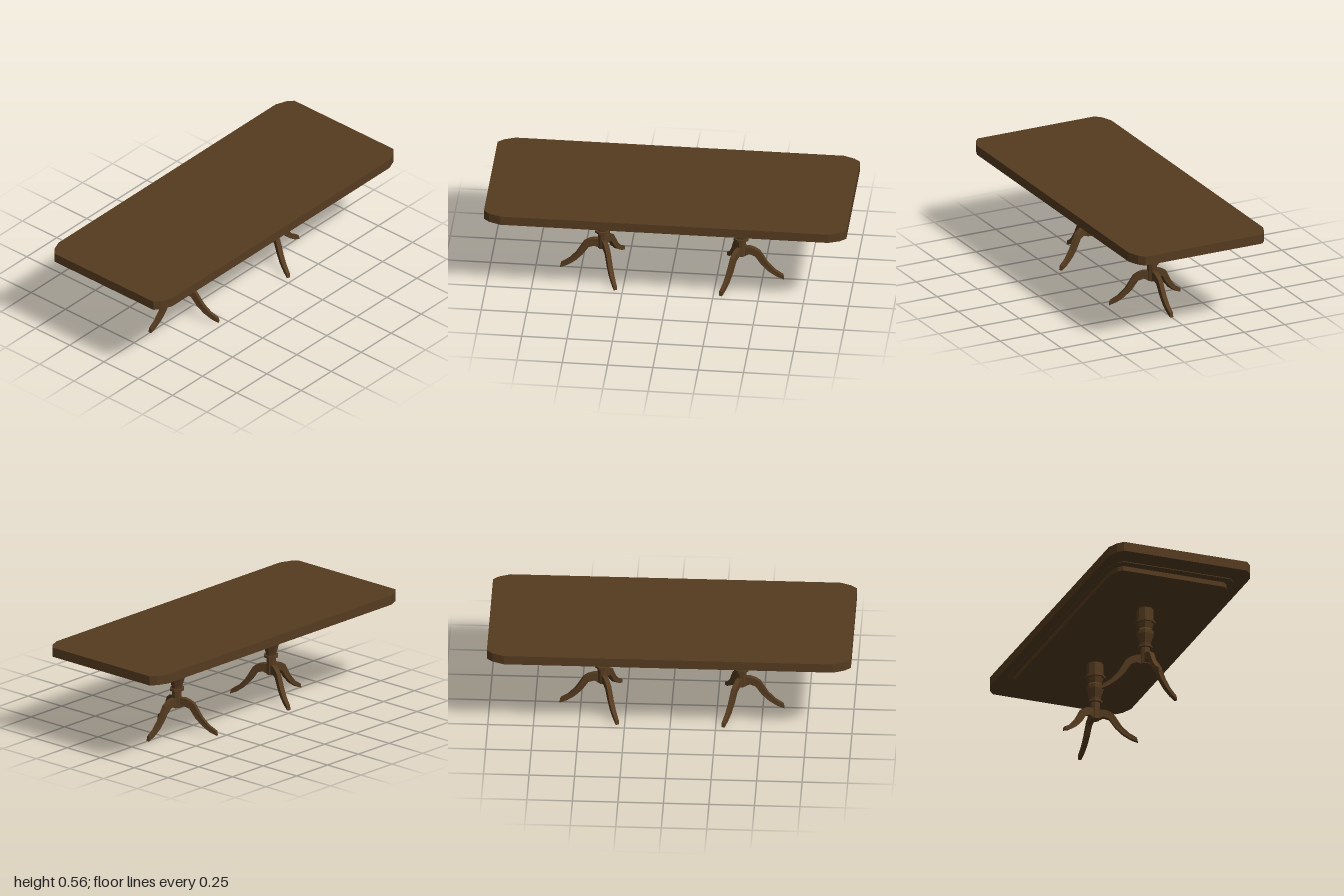
import * as THREE from 'three';

const wood = new THREE.MeshStandardMaterial({ color: 0x553b20, flatShading: true });

function addMesh(parent, name, geometry) {
  const mesh = new THREE.Mesh(geometry, wood);
  mesh.name = name;
  parent.add(mesh);
  return mesh;
}

// Flat board with faceted corners: half sizes hx, hz, corner cut cx by cz
function boardGeometry(hx, hz, cx, cz, y0, y1) {
  const corner = [[0, cz], [0.34 * cx, 0.46 * cz], [cx, 0]].map(([a, b]) => [hx - a, hz - b]);
  const flipped = [...corner].reverse();
  const points = [
    ...corner,
    ...flipped.map(([x, z]) => [-x, z]),
    ...corner.map(([x, z]) => [-x, -z]),
    ...flipped.map(([x, z]) => [x, -z]),
  ].map(([x, z]) => new THREE.Vector2(x, z));
  const geometry = new THREE.ExtrudeGeometry(new THREE.Shape(points), { depth: y1 - y0, bevelEnabled: false });
  return geometry.rotateX(-Math.PI / 2).translate(0, y0, 0);
}

// Eight-sided turned column, [half width across flats, y] from bottom to top
function columnGeometry() {
  const profile = [
    [0, 0.14], [0.025, 0.14], [0.025, 0.239], [0.038, 0.239], [0.038, 0.252],
    [0.027, 0.252], [0.029, 0.266], [0.043, 0.318], [0.044, 0.34], [0.034, 0.352],
    [0.043, 0.388], [0.052, 0.388], [0.052, 0.4], [0.043, 0.4], [0.043, 0.474], [0, 0.474],
  ].map(([r, y]) => new THREE.Vector2(r / Math.cos(Math.PI / 8), y));
  return new THREE.LatheGeometry(profile, 8, Math.PI / 8).scale(1.05, 1, 1);
}

// Curved leg reaching out along +x, narrowing towards the foot
function legGeometry() {
  const outline = [
    [0, 0.14], [0.027, 0.144], [0.046, 0.152], [0.077, 0.141], [0.111, 0.09], [0.152, 0.048],
    [0.196, 0.017], [0.236, 0], [0.231, 0.025], [0.186, 0.054], [0.148, 0.095],
    [0.103, 0.17], [0.075, 0.188], [0.048, 0.197], [0, 0.197],
  ].map(([x, y]) => new THREE.Vector2(x, y));
  const geometry = new THREE.ExtrudeGeometry(new THREE.Shape(outline), { depth: 0.026, bevelEnabled: false });
  geometry.translate(0, 0, -0.013);
  const p = geometry.attributes.position;
  for (let i = 0; i < p.count; i++) {
    p.setZ(i, p.getZ(i) * (1 - 0.25 * Math.max(0, (p.getX(i) - 0.15) / 0.086)));
  }
  geometry.computeVertexNormals();
  return geometry;
}

export function createModel() {
  const table = new THREE.Group();
  table.name = 'diningTable';

  // Top, thin spacer and apron
  addMesh(table, 'tabletop', boardGeometry(1, 0.415, 0.095, 0.054, 0.503, 0.556));
  addMesh(table, 'spacer', boardGeometry(0.872, 0.365, 0.09, 0.05, 0.499, 0.504));
  addMesh(table, 'apron', boardGeometry(0.82, 0.341, 0.08, 0.043, 0.472, 0.5));

  // Two mirrored pedestals, each with three legs
  const column = columnGeometry();
  const leg = legGeometry();
  for (const side of [1, -1]) {
    const pedestal = new THREE.Group();
    pedestal.name = side > 0 ? 'leftPedestal' : 'rightPedestal';
    pedestal.position.x = side * 0.382;
    pedestal.rotation.y = side > 0 ? 0 : Math.PI;
    addMesh(pedestal, 'column', column);
    for (const degrees of [0, 113, -113]) {
      addMesh(pedestal, 'leg', leg).rotation.y = THREE.MathUtils.degToRad(degrees);
    }
    table.add(pedestal);
  }
  return table;
}
